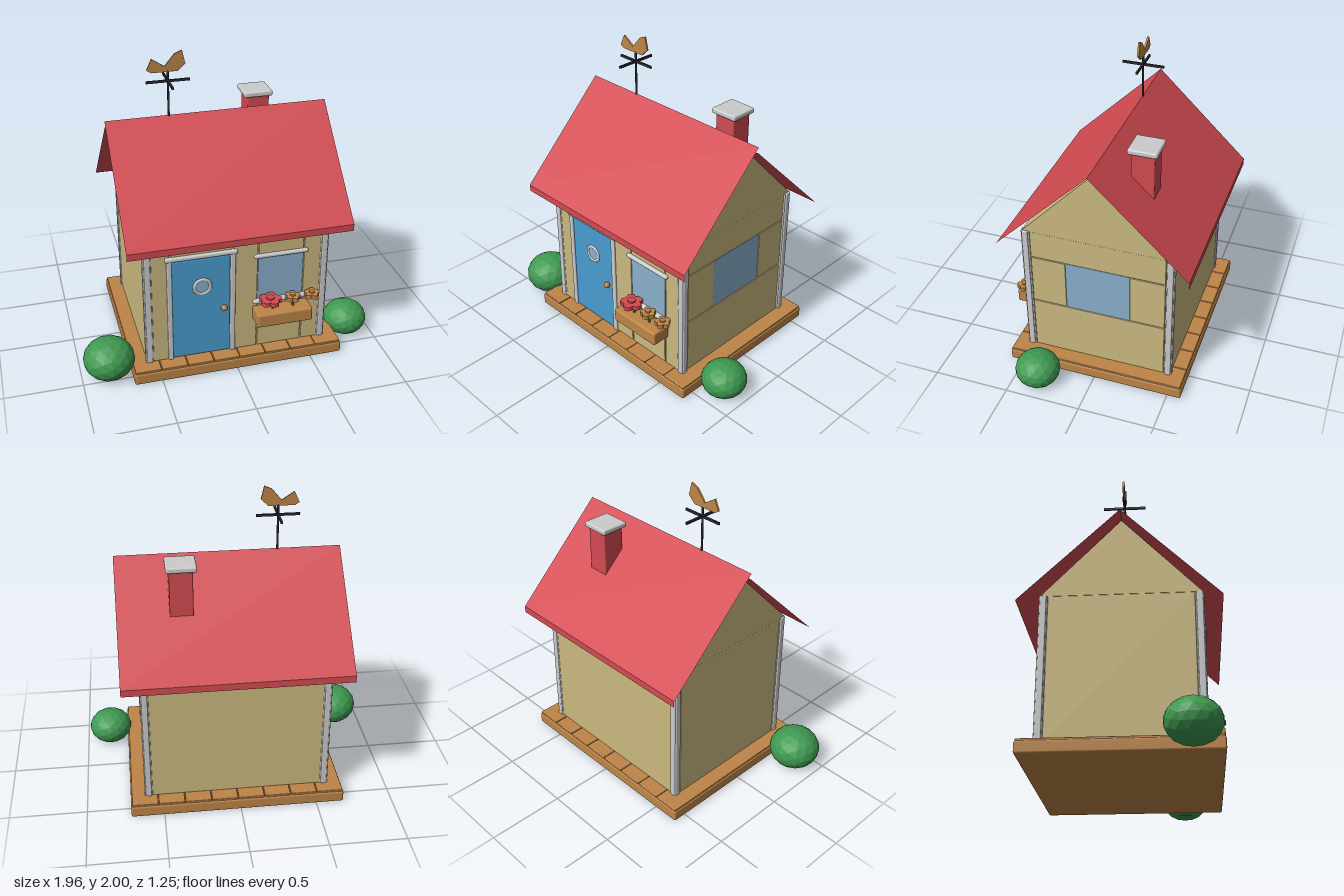
import * as THREE from 'three';
import { RoundedBoxGeometry } from 'three/addons/geometries/RoundedBoxGeometry.js';

const paint = (name, color, extra = {}) => {
  const m = new THREE.MeshStandardMaterial({ color, ...extra });
  m.name = name;
  return m;
};

export function createModel() {
  const root = new THREE.Group();
  root.name = 'cottage';
  const red = paint('red', 0xd24b52);
  const tan = paint('sand wall', 0xcbb980);
  const white = paint('trim grey', 0xcccccc);
  const blue = paint('door blue', 0x4a9cd0);
  const glass = paint('glass', 0x8ab0cc);
  const wood = paint('wood', 0xbd8548);
  const green = paint('leaf green', 0x3f9a52, { flatShading: true });
  const iron = paint('iron', 0x2a2a33);

  const add = (name, geo, mat, x = 0, y = 0, z = 0, parent = root) => {
    const m = new THREE.Mesh(geo, mat);
    m.name = name;
    m.position.set(x, y, z);
    parent.add(m);
    return m;
  };
  // Softly bevelled box given by its limits on each axis
  const block = (name, mat, x0, x1, y0, y1, z0, z1, r = 0.006, parent = root) => {
    const w = x1 - x0, h = y1 - y0, d = z1 - z0;
    const geo = r > 0
      ? new RoundedBoxGeometry(w, h, d, 2, Math.min(r, w / 2.1, h / 2.1, d / 2.1))
      : new THREE.BoxGeometry(w, h, d);
    return add(name, geo, mat, (x0 + x1) / 2, (y0 + y1) / 2, (z0 + z1) / 2, parent);
  };

  // Deck: a slab covered with planks that run front to back
  block('deckSlab', wood, -0.68, 0.714, 0, 0.077, -0.59, 0.59, 0.012);
  const planks = 8, px = -0.675, pw = 1.384 / planks;
  for (let i = 0; i < planks; i++) {
    block('deckPlank', wood, px + i * pw + 0.002, px + (i + 1) * pw - 0.002, 0.06, 0.09, -0.583, 0.583, 0.005);
  }

  // Wall core and gable ends
  block('wallCore', tan, -0.57, 0.6, 0.08, 1.02, -0.48, 0.48, 0);
  const gable = new THREE.Shape([
    new THREE.Vector2(-0.495, 1.02), new THREE.Vector2(0.495, 1.02), new THREE.Vector2(0, 1.54),
  ]);
  const gableGeo = new THREE.ExtrudeGeometry(gable, { depth: 1.19, bevelEnabled: false });
  gableGeo.rotateY(Math.PI / 2);
  add('gable', gableGeo, tan, -0.58, 0, 0);

  // Front wall panels, split by narrow seams
  const front = [[-0.54, -0.42, 0.09], [-0.41, -0.02, 0.82], [-0.01, 0.15, 0.09], [0.46, 0.575, 0.09]];
  for (const [a, b, y] of front) block('frontPanel', tan, a, b, y, 1.02, 0.46, 0.49, 0.004);
  block('frontPanelLow', tan, 0.157, 0.453, 0.09, 0.45, 0.46, 0.49, 0.004);
  block('frontPanelHigh', tan, 0.157, 0.453, 0.77, 1.02, 0.46, 0.49, 0.004);
  // Plain back and right-hand walls
  block('backPanel', tan, -0.54, 0.575, 0.09, 1.02, -0.49, -0.46, 0.004);
  block('plainSidePanel', tan, -0.58, -0.55, 0.09, 1.02, -0.445, 0.445, 0.004);
  // Window side wall
  block('sidePanelLow', tan, 0.58, 0.61, 0.09, 0.47, -0.443, 0.443, 0.004);
  block('sidePanelHigh', tan, 0.58, 0.61, 0.827, 1.02, -0.443, 0.443, 0.004);
  for (const s of [-1, 1]) {
    const z = [0.213 * s, 0.443 * s].sort((a, b) => a - b);
    block('sidePanelMiddle', tan, 0.58, 0.61, 0.475, 0.822, z[0], z[1], 0.004);
  }
  block('sideWindow', glass, 0.598, 0.607, 0.473, 0.824, -0.212, 0.212, 0);

  // Corner posts, each a pair of stepped strips
  for (const sx of [-1, 1]) for (const sz of [-1, 1]) {
    const x = 0.017 + sx * 0.578, z = sz * 0.473;
    block('cornerPost', white, x - 0.027, x + 0.027, 0.088, 1.025, z - 0.02, z + 0.02, 0.007);
    block('cornerPostCore', white, x - 0.019, x + 0.019, 0.088, 1.025, z - 0.027, z + 0.027, 0.007);
  }

  // Roof: a folded band with open ends
  const section = [[0.61, 0.94], [0.61, 0.985], [0, 1.585], [-0.62, 0.985], [-0.62, 0.94], [0, 1.545]];
  const verts = [];
  section.forEach(([za, ya], i) => {
    const [zb, yb] = section[(i + 1) % section.length];
    const a0 = [-0.7, ya, za], a1 = [0.735, ya, za], b0 = [-0.7, yb, zb], b1 = [0.735, yb, zb];
    verts.push(...a0, ...a1, ...b1, ...a0, ...b1, ...b0);
  });
  const roofGeo = new THREE.BufferGeometry();
  roofGeo.setAttribute('position', new THREE.Float32BufferAttribute(verts, 3));
  roofGeo.computeVertexNormals();
  add('roof', roofGeo, red);

  // Chimney
  block('chimney', red, 0.262, 0.408, 1.28, 1.59, -0.3, -0.15, 0.008);
  block('chimneyFoot', red, 0.262, 0.408, 1.23, 1.3, -0.3, -0.25, 0);
  block('chimneyCap', white, 0.238, 0.428, 1.588, 1.625, -0.32, -0.132, 0.012);

  // Door with frame, porthole and knob
  const door = new THREE.Group();
  door.name = 'door';
  root.add(door);
  block('doorLeaf', blue, -0.408, -0.03, 0.095, 0.812, 0.465, 0.494, 0.006, door);
  block('doorJamb', white, -0.44, -0.407, 0.088, 0.83, 0.465, 0.503, 0.008, door);
  block('doorJamb', white, -0.031, 0.004, 0.088, 0.83, 0.465, 0.503, 0.008, door);
  block('doorLintel', white, -0.45, 0.015, 0.822, 0.853, 0.465, 0.51, 0.012, door);
  const ring = add('portholeRing', new THREE.TorusGeometry(0.052, 0.011, 8, 24), white, -0.213, 0.612, 0.495, door);
  ring.scale.z = 0.8;
  add('portholeGlass', new THREE.CircleGeometry(0.05, 24), glass, -0.213, 0.612, 0.497, door);
  add('doorKnob', new THREE.SphereGeometry(0.021, 14, 10), wood, -0.073, 0.435, 0.508, door);

  // Front window with trims
  block('frontWindow', glass, 0.155, 0.455, 0.445, 0.775, 0.481, 0.488, 0);
  block('windowHead', white, 0.125, 0.483, 0.762, 0.79, 0.47, 0.51, 0.013);
  block('windowSill', white, 0.122, 0.483, 0.425, 0.455, 0.47, 0.515, 0.013);

  // Flower box
  block('flowerBox', wood, 0.12, 0.488, 0.315, 0.408, 0.488, 0.618, 0.012);
  for (const x of [0.237, 0.375]) {
    add('stem', new THREE.CylinderGeometry(0.009, 0.009, 0.075, 8), green, x, 0.435, 0.55);
  }
  // Each flower is a ring of flat petals around a raised centre
  const flower = (mat, x, r) => {
    const g = new THREE.Group();
    g.name = 'flower';
    g.position.set(x, 0.475, 0.555);
    root.add(g);
    for (let i = 0; i < 5; i++) {
      const a = i * Math.PI * 2 / 5;
      add('petal', new THREE.CylinderGeometry(r * 0.42, r * 0.42, 0.028, 8), mat,
        Math.cos(a) * r * 0.58, 0, Math.sin(a) * r * 0.58, g);
    }
    add('flowerCentre', new THREE.CylinderGeometry(r * 0.35, r * 0.35, 0.045, 8), mat, 0, 0.002, 0, g);
  };
  flower(red, 0.22, 0.075);
  flower(wood, 0.37, 0.052);
  flower(wood, 0.5, 0.052);

  // Weather vane
  const vane = new THREE.Group();
  vane.name = 'weatherVane';
  vane.position.set(-0.297, 0, 0);
  root.add(vane);
  add('vanePole', new THREE.CylinderGeometry(0.007, 0.007, 0.32, 8), iron, 0, 1.72, 0, vane);
  block('vaneBarAcross', iron, -0.138, 0.138, 1.802, 1.817, -0.006, 0.006, 0, vane);
  block('vaneBarDeep', iron, -0.006, 0.006, 1.802, 1.817, -0.138, 0.138, 0, vane);
  const bird = new THREE.Shape([
    [-0.103, 1.87], [0.062, 1.87], [0.11, 1.915], [0.09, 2], [0.043, 1.98], [-0.02, 1.905], [-0.1, 1.958], [-0.132, 1.888],
  ].map(([x, y]) => new THREE.Vector2(x, y)));
  add('vaneBird', new THREE.ExtrudeGeometry(bird, { depth: 0.012, bevelEnabled: false }), wood, 0, 0, -0.006, vane);

  // Bushes: faceted balls flattened where they meet the ground
  const bush = (x, z, rx, cy, ry) => {
    const geo = new THREE.IcosahedronGeometry(1, 2);
    geo.scale(rx, ry, rx);
    const p = geo.attributes.position;
    for (let i = 0; i < p.count; i++) p.setY(i, Math.max(p.getY(i) + cy, 0));
    geo.computeVertexNormals();
    add('bush', geo, green, x, 0, z);
  };
  bush(-0.816, 0.412, 0.168, 0.115, 0.137);
  bush(0.835, 0.342, 0.147, 0.1, 0.117);

  return root;
}
